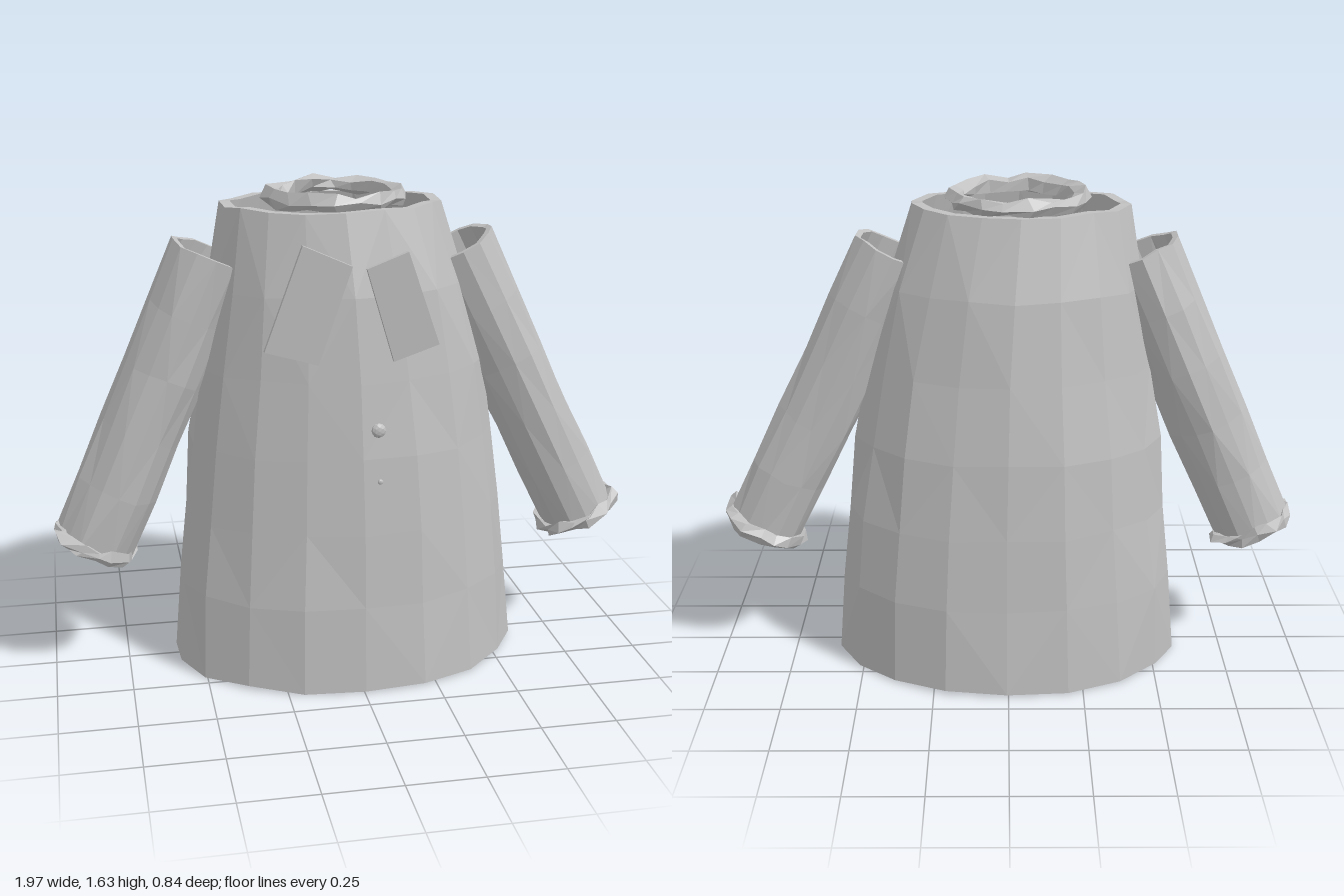
import * as THREE from 'three';

const cloth = new THREE.MeshStandardMaterial({ color: 0xc0c0c0, flatShading: true });
cloth.name = 'grey cloth';

// Repeatable noise in -1..1
function noise(a, b, c) {
  const s = Math.sin(a * 12.9898 + b * 78.233 + c * 37.719) * 43758.5453;
  return (s - Math.floor(s)) * 2 - 1;
}

function mesh(name, geometry) {
  const m = new THREE.Mesh(geometry, cloth);
  m.name = name;
  return m;
}

// Open tube with walls: rings are [y, cx, cz, rx, rz]; offset(ring, side) gives the radial crumple
function shell(rings, sides, wall, offset) {
  const rows = [
    ...rings.map((r, i) => [r, i, 0]),
    ...rings.map((r, i) => [r, i, wall]).reverse(),
  ];
  const pos = [], index = [];
  rows.forEach(([[y, cx, cz, rx, rz], i, inset]) => {
    for (let j = 0; j < sides; j++) {
      const a = (j / sides) * Math.PI * 2;
      const d = offset(i, j) - inset;
      pos.push(cx + Math.sin(a) * (rx + d), y + noise(i, j, 5) * 0.006, cz + Math.cos(a) * (rz + d));
    }
  });
  for (let i = 0; i < rows.length; i++) {
    const n = (i + 1) % rows.length;
    for (let j = 0; j < sides; j++) {
      const k = (j + 1) % sides;
      const a = i * sides + j, b = i * sides + k, c = n * sides + k, d = n * sides + j;
      if ((i + j) % 2) index.push(a, b, c, a, c, d);
      else index.push(a, b, d, b, c, d);
    }
  }
  const g = new THREE.BufferGeometry();
  g.setAttribute('position', new THREE.Float32BufferAttribute(pos, 3));
  g.setIndex(index);
  g.computeVertexNormals();
  return g;
}

// Ragged, lumpy ring lying flat in xz
function raggedRing(radius, tube, sides, jitter, seed) {
  const g = new THREE.TorusGeometry(radius, tube, 5, sides).rotateX(Math.PI / 2);
  const p = g.attributes.position;
  for (let i = 0; i < p.count; i++) {
    const v = [p.getX(i), p.getY(i), p.getZ(i)];
    const [a, b, c] = v.map((t) => Math.round(t * 1000) + seed);
    p.setXYZ(i, v[0] + noise(a, b, c) * jitter, v[1] + noise(b, c, a) * jitter, v[2] + noise(c, a, b) * jitter);
  }
  g.computeVertexNormals();
  return g;
}

// Sleeve with its cuff, running from the cuff centre up to the shoulder
function sleeve(name, shoulder, wrist, seed) {
  const group = new THREE.Group();
  group.name = name;
  const dir = shoulder.clone().sub(wrist);
  const len = dir.length();
  const rings = [];
  for (let i = 0; i <= 5; i++) {
    const t = i / 5, r = 0.13 + 0.012 * t;
    rings.push([t * len, 0, 0, r, r]);
  }
  const fold = (i, j) => noise(j, seed, 1) * 0.006 + noise(i, j, seed) * 0.006;
  group.add(mesh('sleeveTube', shell(rings, 14, 0.02, fold)));
  const cuff = mesh('cuff', raggedRing(0.13, 0.024, 16, 0.012, seed));
  cuff.position.y = 0.005;
  group.add(cuff);
  group.position.copy(wrist);
  group.quaternion.setFromUnitVectors(new THREE.Vector3(0, 1, 0), dir.normalize());
  return group;
}

// Flat collar flap from four front corners, its top leaning forward
function flap(name, corners) {
  const s = new THREE.Shape(corners.map(([x, y]) => new THREE.Vector2(x, y)));
  const g = new THREE.ExtrudeGeometry(s, { depth: 0.018, bevelEnabled: false });
  const p = g.attributes.position;
  for (let i = 0; i < p.count; i++) p.setZ(i, p.getZ(i) + 0.348 + (p.getY(i) - 1.3) * 0.04);
  g.computeVertexNormals();
  return mesh(name, g);
}

export function createModel() {
  const model = new THREE.Group();
  model.name = 'coat';

  // Flared body, open at hem and neck
  const body = [
    [0.012, 0.005, 0, 0.595, 0.42],
    [0.3, 0.005, 0, 0.575, 0.405],
    [0.55, 0.005, 0, 0.55, 0.388],
    [0.8, 0, 0.005, 0.52, 0.37],
    [1.05, -0.005, 0.015, 0.478, 0.342],
    [1.32, -0.02, 0.02, 0.425, 0.315],
    [1.58, -0.04, 0.028, 0.36, 0.252],
  ];
  model.add(mesh('body', shell(body, 18, 0.035, (i, j) => noise(i, j, 2) * 0.007)));

  // Loose ring inside the neck opening
  const neck = mesh('neckRing', raggedRing(0.205, 0.028, 18, 0.011, 3));
  neck.scale.z = 1.06;
  neck.position.set(-0.03, 1.6, 0.025);
  model.add(neck);

  // Sleeves
  const V = (x, y, z) => new THREE.Vector3(x, y, z);
  model.add(sleeve('leftSleeve', V(0.37, 1.42, 0.025), V(0.85, 0.45, 0.015), 4));
  model.add(sleeve('rightSleeve', V(-0.43, 1.42, 0.025), V(-0.85, 0.45, 0.015), 7));

  // Collar flaps
  model.add(flap('rightCollarFlap', [[-0.19, 1.5], [-0.31, 1.17], [-0.14, 1.12], [-0.035, 1.43]]));
  model.add(flap('leftCollarFlap', [[0.14, 1.47], [0.01, 1.42], [0.1, 1.12], [0.245, 1.17]]));

  // Buttons
  [[0.05, 0.9, 0.024], [0.055, 0.73, 0.009]].forEach(([x, y, r]) => {
    const b = mesh('button', new THREE.IcosahedronGeometry(r, 1));
    b.scale.z = 0.5;
    b.position.set(x, y, y > 0.8 ? 0.37 : 0.378);
    model.add(b);
  });

  return model;
}
